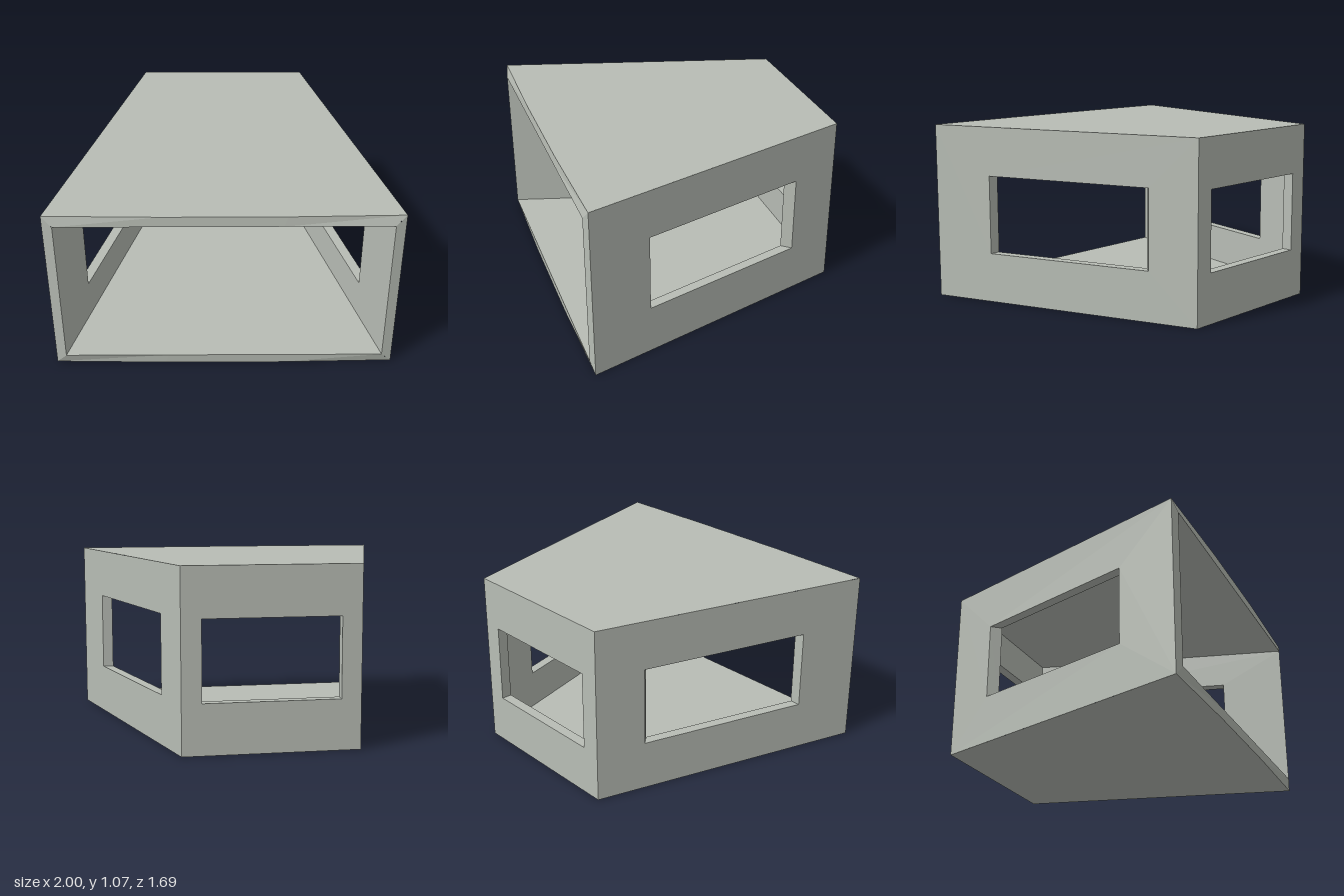
import * as THREE from 'three';

const H = 1.07, IN_LO = 0.063, IN_HI = 1.007;      // overall height, inner floor and ceiling
const BACK = -0.843, IN_BACK = -0.78;              // outer and inner back planes
const FRONT = 0.826, IN_FRONT = 0.843;             // outer and inner front rims
const WIN_LO = 0.3, WIN_HI = 0.775;                // window sill and head
const outerX = (z) => 0.517 + 0.2895 * (z - BACK); // tapering side walls
const innerX = (z) => outerX(z) - 0.064;

// Quads between successive rows of points; flip reverses the winding
function skin(rows, closed, flip) {
  const pos = [];
  rows.slice(0, -1).forEach((a, r) => {
    const b = rows[r + 1], n = a.length;
    for (let i = 0; i < (closed ? n : n - 1); i++) {
      const j = (i + 1) % n;
      const q = [a[i], a[j], b[j], b[i]];
      if (flip) q.reverse();
      for (const k of [0, 1, 2, 0, 2, 3]) pos.push(...q[k]);
    }
  });
  const g = new THREE.BufferGeometry();
  g.setAttribute('position', new THREE.Float32BufferAttribute(pos, 3));
  g.computeVertexNormals();
  return g;
}

export function createModel() {
  const model = new THREE.Group();
  model.name = 'taperedShell';
  const grey = new THREE.MeshStandardMaterial({ color: 0xb8bdb5 });
  grey.name = 'paleGrey';
  const add = (name, geometry) => {
    const m = new THREE.Mesh(geometry, grey);
    m.name = name;
    model.add(m);
  };

  // Side walls, each with a window and a front rim
  for (const s of [1, -1]) {
    const loop = (fx, z0, z1, y0, y1) =>
      [[z0, y0], [z1, y0], [z1, y1], [z0, y1]].map(([z, y]) => [s * fx(z), y, z]);
    const outer = loop(outerX, FRONT, BACK, 0, H);
    const inner = loop(innerX, IN_FRONT, IN_BACK, IN_LO, IN_HI);
    const side = s > 0 ? 'left' : 'right';
    add(side + 'Wall', skin([
      outer,
      loop(outerX, 0.46, -0.555, WIN_LO, WIN_HI),
      loop(innerX, 0.46, -0.5, WIN_LO, WIN_HI),
      inner,
    ], true, s < 0));
    add(side + 'FrontRim', skin([[inner[3], inner[0]], [outer[3], outer[0]]], false, s < 0));
  }

  // Back wall with a window
  const backLoop = (x, z, y0, y1) => [[x, y0, z], [-x, y0, z], [-x, y1, z], [x, y1, z]];
  add('backWall', skin([
    backLoop(outerX(BACK), BACK, 0, H),
    backLoop(0.4, BACK, WIN_LO, WIN_HI),
    backLoop(0.4, IN_BACK, WIN_LO, WIN_HI),
    backLoop(innerX(IN_BACK), IN_BACK, IN_LO, IN_HI),
  ], true, false));

  // Roof and floor slabs, with slightly bowed front edges
  const columns = [-1, -0.35, 0.35, 1];
  const slab = (name, yOut, yIn, flip) => {
    const row = (w, y, z) => columns.map((t) => [t * w, y, z]);
    const outerFront = columns.map((t) => [t, yOut, Math.abs(t) === 1 ? FRONT : 0.839]);
    add(name, skin([
      row(innerX(IN_BACK), yIn, IN_BACK),
      row(innerX(IN_FRONT), yIn, IN_FRONT),
      outerFront,
      row(outerX(BACK), yOut, BACK),
    ], false, flip));
  };
  slab('roof', H, IN_HI, false);
  slab('floor', 0, IN_LO, true);

  return model;
}
